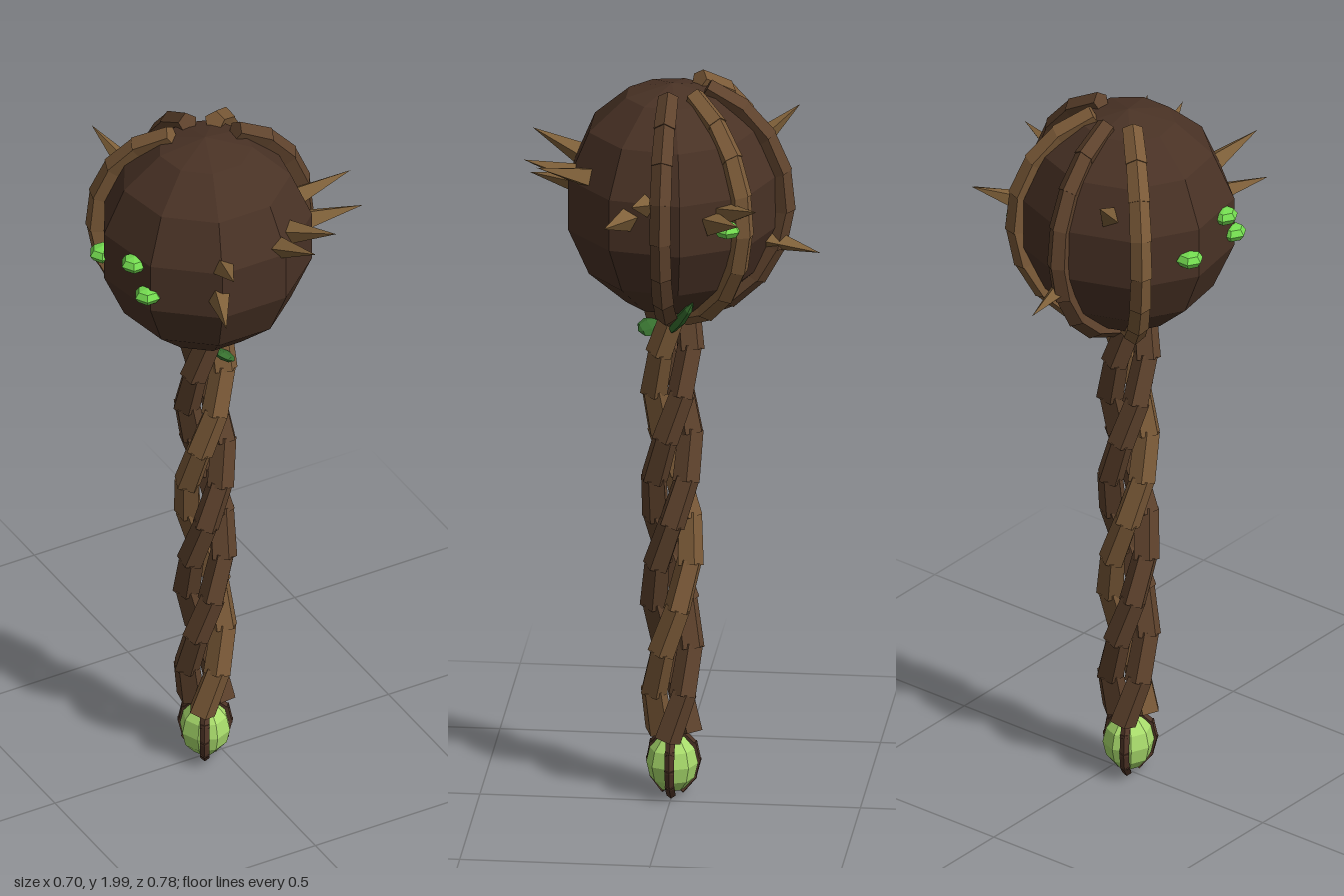
import * as THREE from 'three';

const V = (x, y, z) => new THREE.Vector3(x, y, z);
const UP = V(0, 1, 0);
const CX = -0.05; // axis of the club
const HEAD = V(CX, 1.67, 0);
const mat = (color) => new THREE.MeshStandardMaterial({ color, flatShading: true });
const M = {
  head: mat(0x493225), darkVine: mat(0x5f432d), lightVine: mat(0x7b5a38), thorn: mat(0x80613a),
  bud: mat(0x74dc50), leaf: mat(0x37702f), gem: mat(0xa9dc6c), claw: mat(0x4e3426),
};

function add(parent, name, geo, material, pos) {
  const m = new THREE.Mesh(geo, material);
  m.name = name;
  if (pos) m.position.copy(pos);
  parent.add(m);
  return m;
}

// five-sided bar from a to b, one ridge facing outward
function bar(parent, name, a, b, out, r0, r1, material) {
  const y = b.clone().sub(a), len = y.length();
  y.normalize();
  const z = out.clone().addScaledVector(y, -out.dot(y)).normalize();
  const x = y.clone().cross(z);
  const geo = new THREE.CylinderGeometry(r1, r0, len + 0.012, 5);
  const m = add(parent, name, geo, material, a.clone().add(b).multiplyScalar(0.5));
  m.quaternion.setFromRotationMatrix(new THREE.Matrix4().makeBasis(x, y, z));
}

// chain of bars along a path function t -> point
function chain(parent, name, path, n, r, material, centre) {
  const g = new THREE.Group();
  g.name = name;
  for (let i = 0; i < n; i++) {
    const a = path(i / n), b = path((i + 1) / n);
    const out = a.clone().add(b).multiplyScalar(0.5).sub(centre);
    if (centre === AXIS) out.y = 0;
    bar(g, name + 'Segment', a, b, out, r * 1.04, r * 0.96, material);
  }
  parent.add(g);
}
const AXIS = V(CX, 0, 0);

// pointed part whose base is at a and tip at b
function point(parent, name, geo, a, b, material, flat = 1) {
  const d = b.clone().sub(a), len = d.length();
  const m = add(parent, name, geo, material, a.clone().add(b).multiplyScalar(0.5));
  m.quaternion.setFromUnitVectors(UP, d.normalize());
  m.scale.set(1, len, flat);
}

export function createModel() {
  const root = new THREE.Group();
  root.name = 'thornyClub';

  // faceted head with a corner row at the back
  const headGeo = new THREE.SphereGeometry(0.287, 9, 7).rotateY(-Math.PI / 2);
  add(root, 'head', headGeo, M.head, HEAD).scale.y = 0.315 / 0.287;

  // four vines climbing the head
  for (let i = 0; i < 4; i++) {
    const a = -i * Math.PI / 4;
    const path = (t) => {
      const p = THREE.MathUtils.degToRad(169 - t * 150);
      const r = 0.295 * Math.sin(p);
      return V(CX + r * Math.cos(a), HEAD.y + 0.318 * Math.cos(p), r * Math.sin(a));
    };
    chain(root, 'headVine', path, 8, 0.029, i % 2 ? M.lightVine : M.darkVine, HEAD);
  }

  // three strands twisted into the handle
  for (let k = 0; k < 3; k++) {
    const path = (t) => {
      const y = 0.18 + t * 1.19;
      const a = (k * 2 * Math.PI) / 3 - (2 * Math.PI * (y - 0.2)) / 0.85;
      return V(CX + 0.049 * Math.cos(a), y, 0.049 * Math.sin(a));
    };
    chain(root, 'handleStrand', path, 10, 0.036, k === 1 ? M.lightVine : M.darkVine, AXIS);
  }

  // thorns: base, tip
  const thornGeo = new THREE.ConeGeometry(0.034, 1, 4);
  const thorns = [
    [-0.04, 1.57, -0.24, -0.04, 1.53, -0.39],
    [-0.15, 1.78, -0.2, -0.21, 1.88, -0.32],
    [0.16, 1.7, -0.16, 0.27, 1.75, -0.255],
    [0.18, 1.68, -0.13, 0.305, 1.72, -0.21],
    [0.19, 1.73, 0.04, 0.35, 1.78, 0.065],
    [0.19, 1.69, 0.09, 0.345, 1.715, 0.138],
    [0.08, 1.76, 0.2, 0.155, 1.81, 0.335],
    [0.03, 1.75, 0.23, 0.07, 1.8, 0.377],
    [-0.13, 1.74, 0.23, -0.177, 1.8, 0.38],
    [-0.14, 1.66, 0.23, -0.205, 1.665, 0.39],
  ];
  for (const [a, b, c, d, e, f] of thorns) point(root, 'thorn', thornGeo, V(a, b, c), V(d, e, f), M.thorn);

  // small hexagonal buds
  const budGeo = new THREE.SphereGeometry(0.037, 6, 4);
  for (const [x, y, z] of [[-0.315, 1.66, -0.075], [-0.307, 1.72, 0.08], [-0.295, 1.645, 0.13], [0.18, 1.665, -0.17]]) {
    add(root, 'bud', budGeo, M.bud, V(x, y, z)).scale.y = 0.6;
  }

  // leaves under the head
  const leafGeo = new THREE.SphereGeometry(0.5, 6, 4).scale(0.065, 1, 0.065);
  point(root, 'leaf', leafGeo, V(0.0, 1.315, 0.0), V(0.1, 1.43, -0.07), M.leaf, 0.5);
  point(root, 'leaf', leafGeo, V(-0.04, 1.32, 0.03), V(-0.01, 1.305, 0.085), M.leaf, 0.4);

  // pommel gem
  add(root, 'pommelGem', new THREE.SphereGeometry(0.068, 8, 6), M.gem, V(CX, 0.095, 0)).scale.y = 1.18;

  // three claws holding the gem
  for (let k = 0; k < 3; k++) {
    const a = (k * 2 * Math.PI) / 3;
    const path = (t) => {
      const p = THREE.MathUtils.degToRad(25 + t * 132);
      const r = 0.07 * Math.sin(p);
      return V(CX + r * Math.cos(a), 0.093 + 0.082 * Math.cos(p), r * Math.sin(a));
    };
    chain(root, 'pommelClaw', path, 4, 0.013, M.claw, V(CX, 0.095, 0));
  }
  return root;
}
